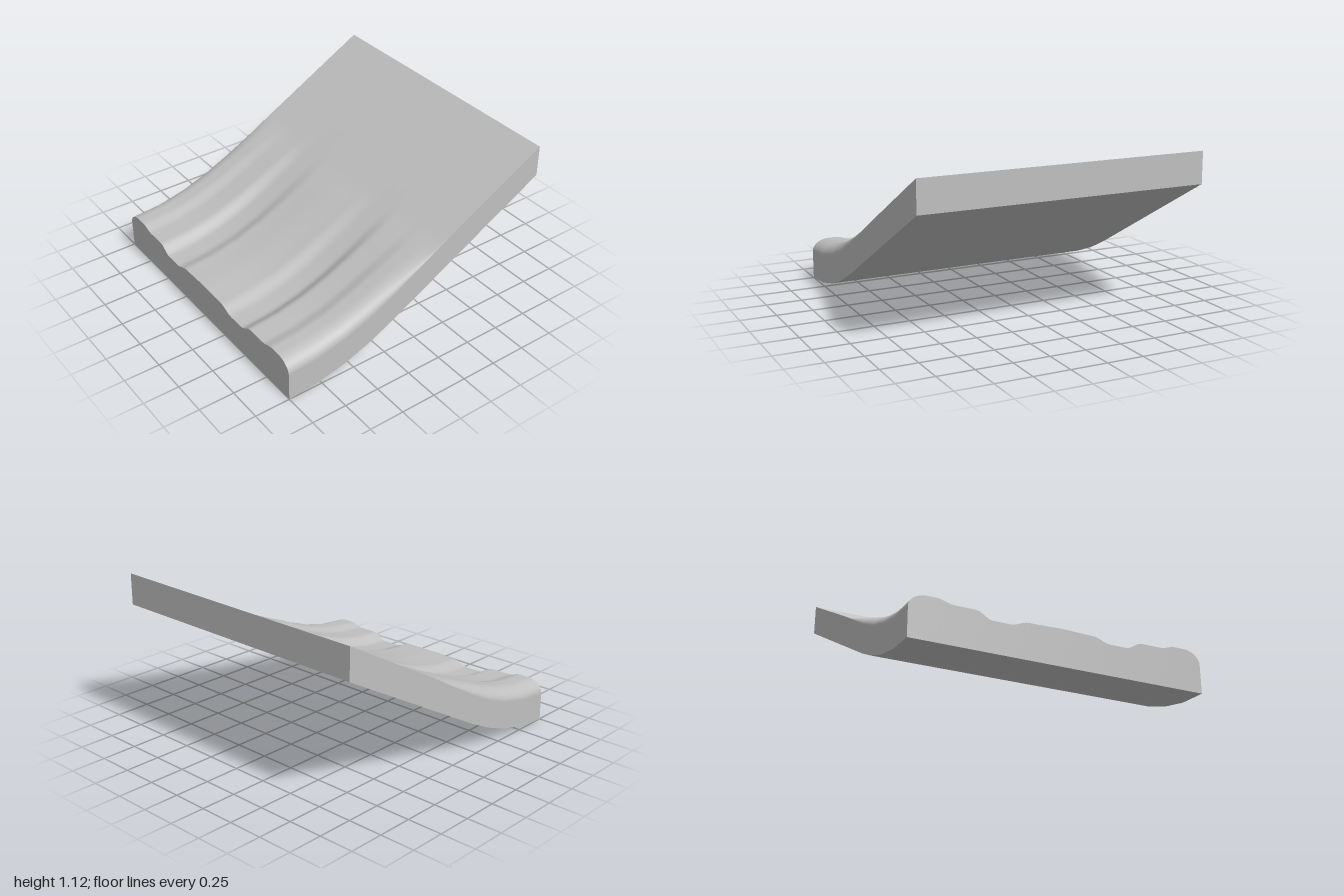
import * as THREE from 'three';

const { lerp, smoothstep } = THREE.MathUtils;

// Linear interpolation through a short list of [x, value] points
function along(points, x) {
  for (let i = 1; i < points.length; i++) {
    const [x0, a] = points[i - 1], [x1, b] = points[i];
    if (x <= x1) return lerp(a, b, (x - x0) / (x1 - x0));
  }
  return points[points.length - 1][1];
}

// Underside curve, and how strongly the carving shows along x
const underside = [[-1, 0], [-0.78, 0.02], [-0.57, 0.07], [-0.37, 0.145], [-0.18, 0.24], [1, 0.895]];
const carving = [[-1, 1], [-0.45, 1], [-0.28, 0.92], [-0.1, 0.65], [0.05, 0.35], [0.15, 0.1], [0.25, 0], [1, 0]];
const plain = 0.22;

// Moulded thickness across z: raised centre, groove, step, outer bead, rounded edge
function moulding(z) {
  const d = Math.abs(z);
  if (d > 0.88) return 0.2 + 0.09 * Math.sqrt(Math.max(0, 1 - ((d - 0.88) / 0.12) ** 2));
  return 0.255 - 0.005 * smoothstep(d, 0, 0.2)
    - 0.035 * smoothstep(d, 0.22, 0.34)
    + 0.05 * smoothstep(d, 0.46, 0.57)
    + 0.025 * smoothstep(d, 0.71, 0.82);
}

const bottom = (x) => along(underside, x);
const top = (x, z) => bottom(x) + plain + along(carving, x) * (moulding(z) - plain);

// Grid surface whose front faces along (v direction) x (u direction)
function patch(us, vs, point, flat) {
  const pos = [], index = [], n = vs.length;
  us.forEach((u, i) => vs.forEach((v, j) => {
    pos.push(...point(u, v));
    if (i < us.length - 1 && j < n - 1) {
      const a = i * n + j;
      index.push(a, a + 1, a + n, a + 1, a + n + 1, a + n);
    }
  }));
  let geo = new THREE.BufferGeometry();
  geo.setAttribute('position', new THREE.Float32BufferAttribute(pos, 3));
  geo.setIndex(index);
  if (flat) geo = geo.toNonIndexed();
  geo.computeVertexNormals();
  return geo;
}

export function createModel() {
  const group = new THREE.Group();
  const grey = new THREE.MeshStandardMaterial({ color: 0xc0c0c0 });
  grey.name = 'grey';

  // Sample positions; z is denser towards the rounded edges
  const xs = [-1, -0.78, -0.67, -0.57, -0.47, -0.37, -0.28, -0.18, -0.1, -0.02, 0.05, 0.1, 0.15, 0.2, 0.25, 0.5, 1];
  const zs = Array.from({ length: 161 }, (_, i) => Math.sin((i / 80 - 1) * Math.PI / 2));
  const ends = [0, 1];
  const wall = (x, z, t) => [x, lerp(bottom(x), top(x, z), t), z];

  const add = (name, geo) => {
    const mesh = new THREE.Mesh(geo, grey);
    mesh.name = name;
    group.add(mesh);
  };

  // Carved upper surface and faceted underside
  add('carvedTop', patch(xs, zs, (x, z) => [x, top(x, z), z]));
  add('underside', patch([-1, 1], underside.map((p) => p[0]), (z, x) => [x, bottom(x), z], true));

  // Long side walls
  add('frontWall', patch(ends, xs, (t, x) => wall(x, 1, t)));
  add('backWall', patch(xs, ends, (x, t) => wall(x, -1, t)));

  // Moulded low end and plain high end
  add('mouldedEnd', patch(ends, zs, (t, z) => wall(-1, z, t)));
  add('plainEnd', patch(zs, ends, (z, t) => wall(1, z, t)));

  return group;
}
